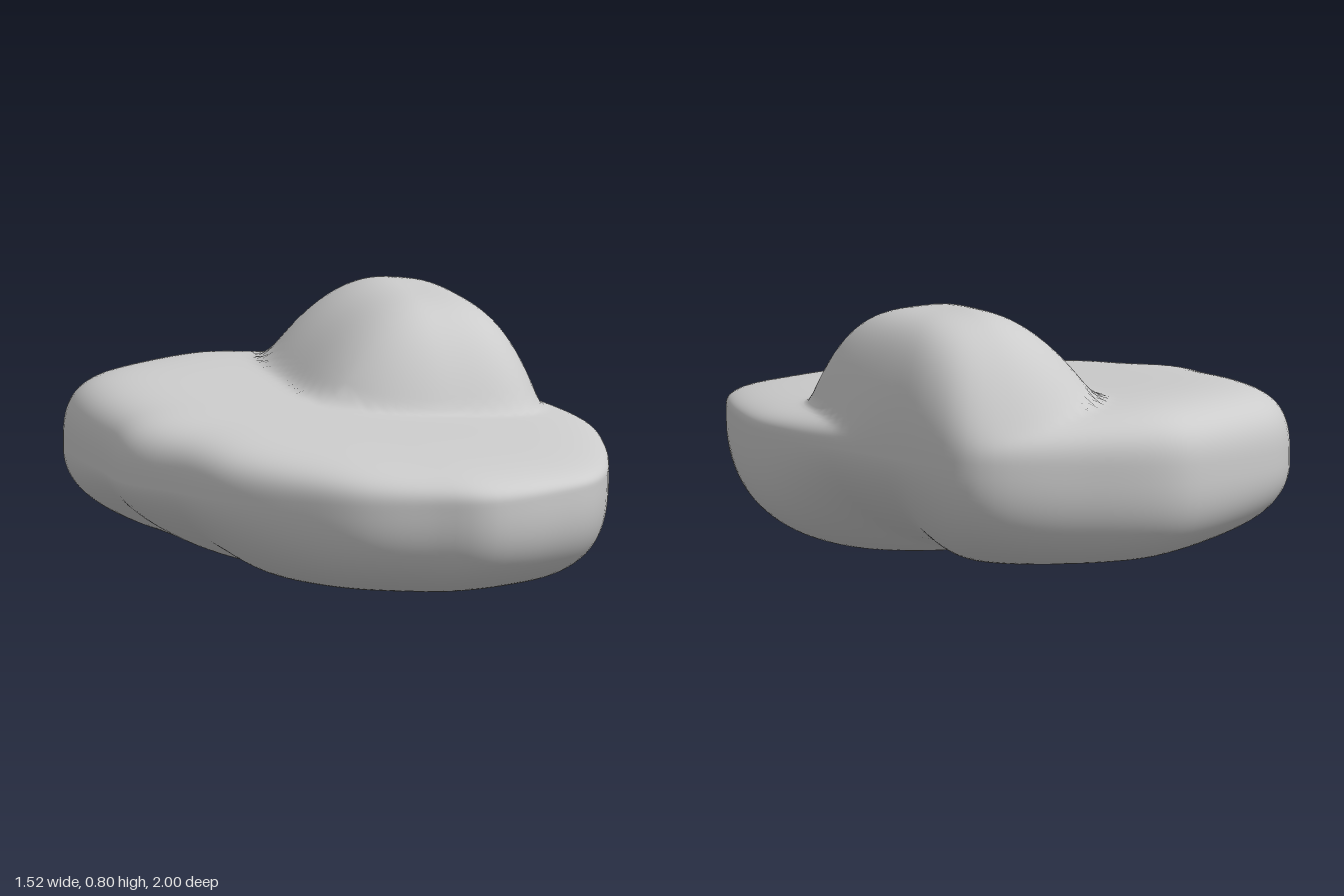
import * as THREE from 'three';

const SEGMENTS = 128, RINGS = 44;

// Plan outline of the boulder as x, z pairs
const OUTLINE = [
  [-0.2, -1], [0.1, -0.95], [0.37, -0.885], [0.45, -0.83], [0.52, -0.7], [0.57, -0.55],
  [0.65, -0.33], [0.73, -0.1], [0.757, 0.1], [0.72, 0.35], [0.66, 0.58], [0.6, 0.74],
  [0.52, 0.85], [0.38, 0.93], [0.26, 0.98], [0.14, 1], [0, 0.95], [-0.22, 0.86],
  [-0.38, 0.72], [-0.55, 0.52], [-0.65, 0.3], [-0.745, 0.1], [-0.75, -0.1],
  [-0.758, -0.38], [-0.73, -0.58], [-0.67, -0.7], [-0.58, -0.79], [-0.32, -0.96],
];

const bell = (x, z, cx, cz, w) => Math.exp(-((x - cx) ** 2 + (z - cz) ** 2) / (w * w));

// Gently tilted upper face
const plateau = (x, z) => 0.515 - 0.05 * x - 0.045 * z;

// Raised lump, steep at its front and softer at its back
function lump(x, z) {
  const dx = x - 0.28, dz = z + 0.36;
  const tx = dx < 0 ? (-dx / 0.38) ** 2 : (dx / 0.36) ** 4;
  const tz = dz > 0 ? (dz / 0.52) ** 4 : (-dz / 0.52) ** 3;
  const h = 1 - tx - tz;
  // soft maximum with zero blends the foot into the plateau
  return 0.29 * 0.5 * (h + Math.sqrt(h * h + 0.006));
}

// Shallow rounded underside
const belly = (x, z) =>
  0.005 + 0.12 * (x - 0.15) ** 2 + 0.07 * Math.max(z, 0) ** 1.5
  + 0.03 * THREE.MathUtils.smoothstep(-z, -0.05, 0.25);

// How far the lower wall is cut in under the rim
const undercut = (x, z) =>
  Math.min(1, bell(x, z, -0.75, 0.15, 0.6) + bell(x, z, 0.62, -0.42, 0.45) + 0.1);

function boulderGeometry() {
  const curve = new THREE.CatmullRomCurve3(
    OUTLINE.map(([x, z]) => new THREE.Vector3(x, 0, z)), true, 'centripetal');
  const rim = curve.getSpacedPoints(SEGMENTS).slice(0, SEGMENTS);
  const positions = [], indices = [];

  const height = (p, s, upper) => {
    const x = p.x * s, z = p.z * s;
    const mid = 0.36 + 0.04 * p.x;
    if (upper) {
      const round = Math.cbrt(1 - s ** 7);
      return mid + (plateau(x, z) - mid) * round + lump(x, z) * Math.sqrt(1 - s ** 12);
    }
    const w = undercut(p.x, p.z);
    const m = THREE.MathUtils.lerp(8, 2.5, w), q = THREE.MathUtils.lerp(0.34, 0.55, w);
    return mid - (mid - belly(x, z)) * (1 - s ** m) ** q;
  };

  // Rings run from the top centre out to the rim and back in underneath
  positions.push(0, height(rim[0], 0, true), 0);
  for (let i = 1; i < 2 * RINGS; i++) {
    const upper = i <= RINGS;
    const t = (upper ? i : 2 * RINGS - i) / RINGS;
    const s = 1 - (1 - t) ** 2.2;
    for (const p of rim) positions.push(p.x * s, height(p, s, upper), p.z * s);
  }
  const last = positions.length / 3;
  positions.push(0, belly(0, 0), 0);

  const at = (ring, j) => 1 + (ring - 1) * SEGMENTS + (j % SEGMENTS);
  for (let j = 0; j < SEGMENTS; j++) {
    indices.push(0, at(1, j + 1), at(1, j));
    for (let i = 1; i < 2 * RINGS - 1; i++) {
      const a = at(i, j), b = at(i, j + 1), c = at(i + 1, j), d = at(i + 1, j + 1);
      indices.push(a, b, c, b, d, c);
    }
    indices.push(last, at(2 * RINGS - 1, j), at(2 * RINGS - 1, j + 1));
  }

  const geometry = new THREE.BufferGeometry();
  geometry.setAttribute('position', new THREE.Float32BufferAttribute(positions, 3));
  geometry.setIndex(indices);
  // Rest the lowest point on the ground
  geometry.computeBoundingBox();
  geometry.translate(0, -geometry.boundingBox.min.y, 0);
  geometry.computeVertexNormals();
  return geometry;
}

export function createModel() {
  const group = new THREE.Group();
  group.name = 'rock';
  const boulder = new THREE.Mesh(
    boulderGeometry(), new THREE.MeshStandardMaterial({ color: 0xcccccc }));
  boulder.name = 'boulder';
  group.add(boulder);
  return group;
}
